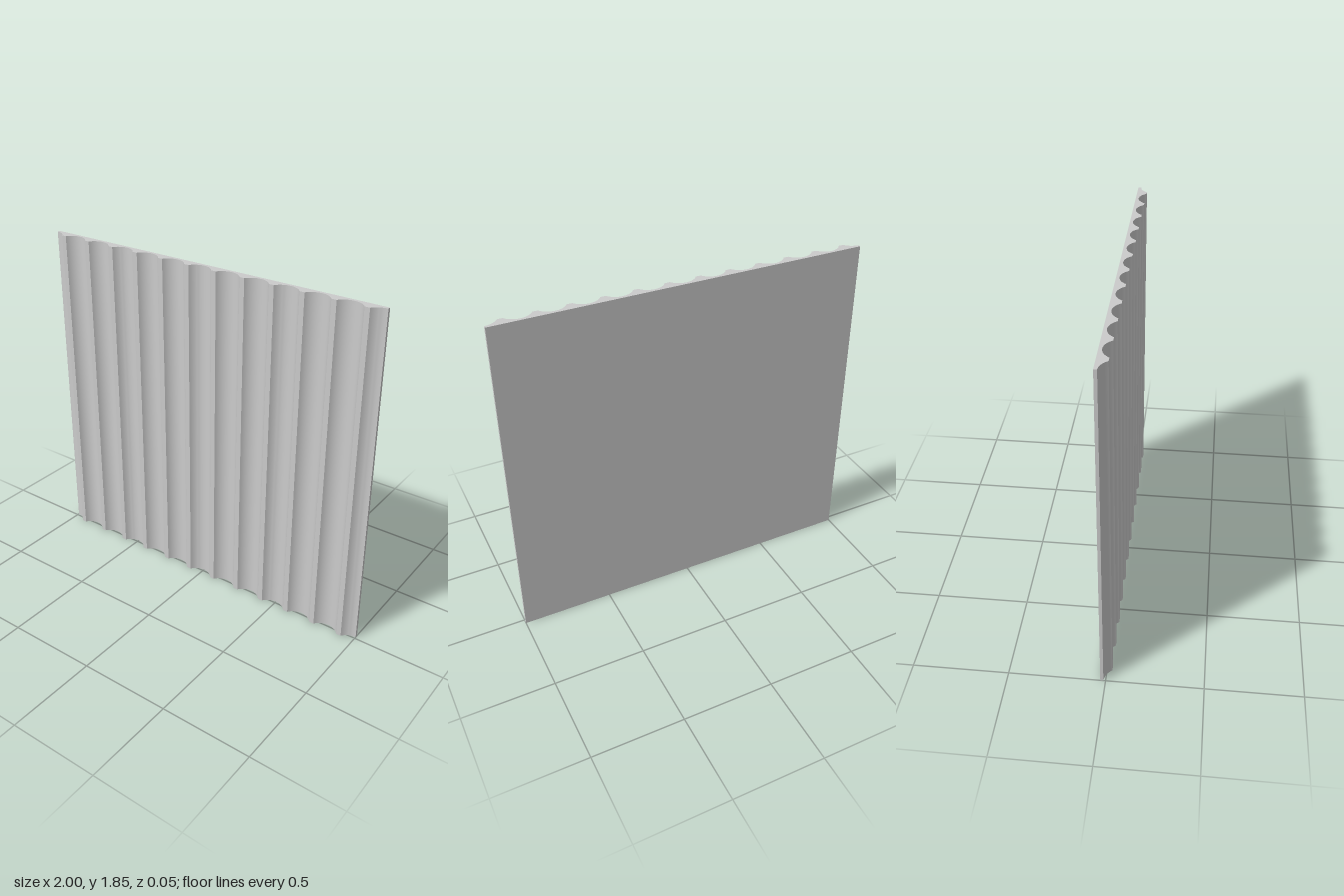
import * as THREE from 'three';
import { toCreasedNormals } from 'three/addons/utils/BufferGeometryUtils.js';

const HEIGHT = 1.85;
const BACK = -0.027, FRONT = 0.027; // panel faces in z
const PITCH = 1 / 6;                // spacing of the flutes
const HALF = 0.0698;                // half width of a flute
const DEPTH = 0.038;                // depth of a flute
const RADIUS = (HALF * HALF + DEPTH * DEPTH) / (2 * DEPTH);
const STEPS = 8;                    // segments per half flute

export function createModel() {
  const group = new THREE.Group();
  group.name = 'flutedPanel';

  // Plan outline, drawn as (x, -z): straight back, then scalloped front
  const outline = [new THREE.Vector2(-1, -BACK), new THREE.Vector2(1, -BACK)];
  const sweep = Math.asin(HALF / RADIUS);
  const arcCentre = FRONT - DEPTH + RADIUS;
  for (let i = 6; i >= -6; i--) {
    // Half flutes close the two ends
    const first = i === 6 ? 0 : -STEPS;
    const last = i === -6 ? 0 : STEPS;
    for (let s = first; s <= last; s++) {
      const a = (s / STEPS) * sweep;
      const z = arcCentre - RADIUS * Math.cos(a);
      outline.push(new THREE.Vector2(i * PITCH - RADIUS * Math.sin(a), -z));
    }
  }
  outline.reverse(); // counter-clockwise

  // Extrude upwards, smooth in the flutes and sharp at the ridges
  const extruded = new THREE.ExtrudeGeometry(new THREE.Shape(outline), {
    depth: HEIGHT, bevelEnabled: false,
  });
  extruded.rotateX(-Math.PI / 2);
  const panel = new THREE.Mesh(
    toCreasedNormals(extruded, 0.5),
    new THREE.MeshStandardMaterial({ color: 0xcccccc }),
  );
  panel.name = 'panel';
  group.add(panel);
  return group;
}
